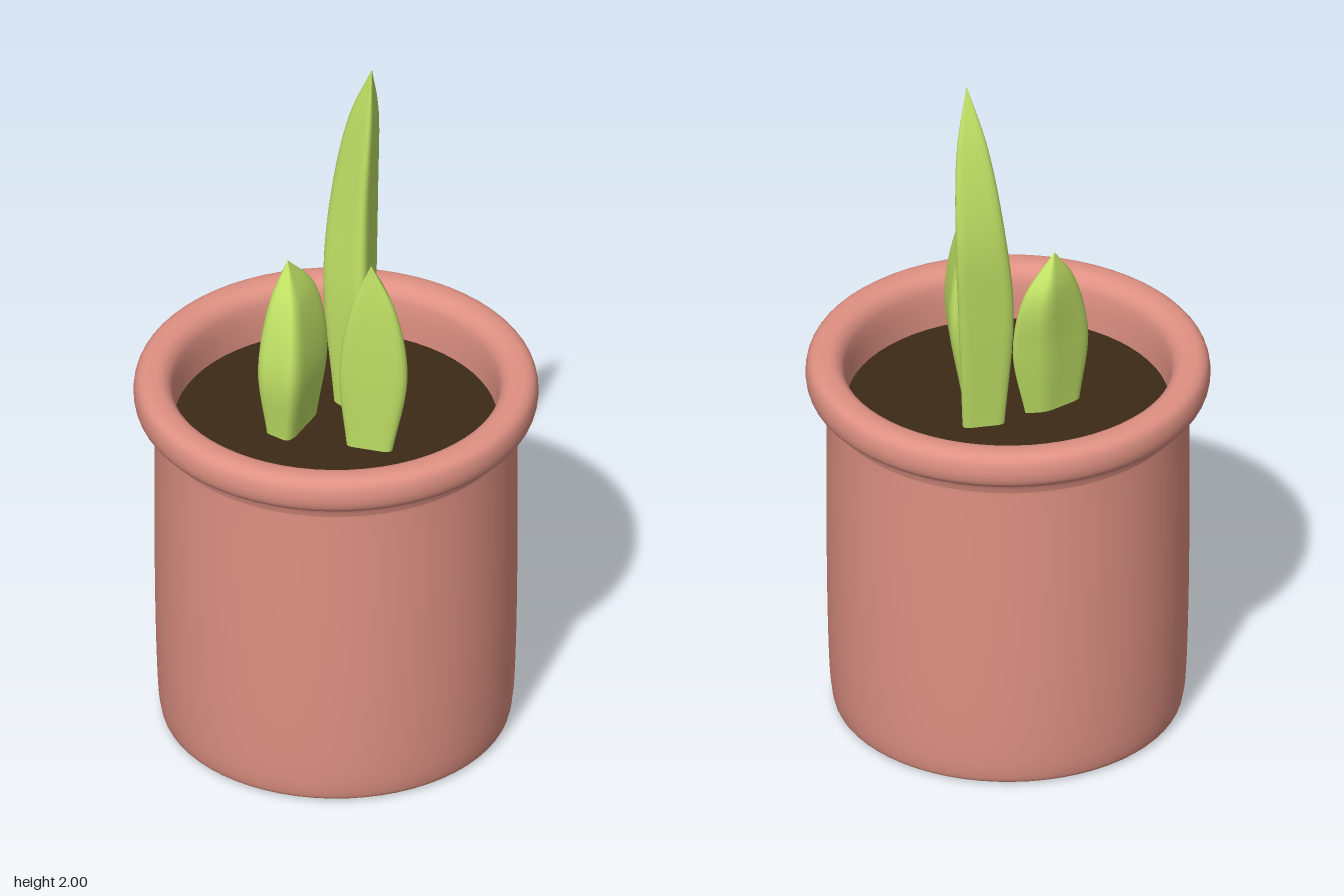
import * as THREE from 'three';

const material = (color) => new THREE.MeshStandardMaterial({ color, roughness: 0.8 });
const v2 = (points) => points.map(([x, y]) => new THREE.Vector2(x, y));

// Lofts a pointed leaf between edge curves (listed counterclockwise from above) that meet at the tip.
function leafGeometry(tip, edges, round = 0.26, rows = 28, steps = 6) {
  const curves = edges.map((points) =>
    new THREE.CatmullRomCurve3([...points, tip].map((p) => new THREE.Vector3(...p))));
  const positions = [], index = [], ring = edges.length * (steps + 1);
  for (let i = 0; i <= rows; i++) {
    const corners = curves.map((c) => c.getPoint(i / rows));
    corners.forEach((corner, k) => {
      // Each corner of the cross-section is softened by a small arc
      const before = corners[(k + corners.length - 1) % corners.length];
      const after = corners[(k + 1) % corners.length];
      const arc = new THREE.QuadraticBezierCurve3(
        corner.clone().lerp(before, round), corner, corner.clone().lerp(after, round));
      for (const p of arc.getPoints(steps)) positions.push(p.x, p.y, p.z);
    });
  }
  for (let i = 0; i < rows; i++) {
    for (let j = 0; j < ring; j++) {
      const a = i * ring + j, b = i * ring + (j + 1) % ring;
      index.push(a, b, b + ring, a, b + ring, a + ring);
    }
  }
  const geometry = new THREE.BufferGeometry();
  geometry.setAttribute('position', new THREE.Float32BufferAttribute(positions, 3));
  geometry.setIndex(index);
  geometry.computeVertexNormals();
  return geometry;
}

export function createModel() {
  const group = new THREE.Group();
  const clay = material(0xdf9183), green = material(0xbfe065), earth = material(0x3d2a18);
  const add = (name, geometry, mat) => {
    const mesh = new THREE.Mesh(geometry, mat);
    mesh.name = name;
    group.add(mesh);
    return mesh;
  };

  // Pot base and wall
  const wall = new THREE.SplineCurve(v2([
    [0.465, 0.004], [0.477, 0.02], [0.486, 0.1], [0.492, 0.3], [0.495, 0.6], [0.495, 0.9], [0.498, 0.95], [0.515, 0.985],
  ])).getPoints(40);
  add('potWall', new THREE.LatheGeometry(wall, 64), clay);
  add('potBase', new THREE.LatheGeometry(v2([[0, 0], [0.455, 0], [0.465, 0.004]]), 64), clay);

  // Rolled rim running down into the inner wall
  const rim = new THREE.SplineCurve(v2([
    [0.497, 0.972], [0.525, 0.98], [0.545, 0.998], [0.552, 1.03], [0.546, 1.064], [0.528, 1.082],
    [0.5, 1.086], [0.472, 1.08], [0.453, 1.06], [0.445, 1.03], [0.442, 0.98], [0.442, 0.9],
  ])).getPoints(66);
  add('potRim', new THREE.LatheGeometry(rim, 64), clay);

  // Soil
  const soil = add('soil', new THREE.CircleGeometry(0.443, 64), earth);
  soil.rotation.x = -Math.PI / 2;
  soil.position.y = 0.93;

  // Tall leaf at the back
  add('tallLeaf', leafGeometry([0.125, 2, -0.085], [
    [[0.01, 0.92, -0.11], [-0.015, 1.3, -0.15], [0.015, 1.57, -0.17], [0.065, 1.83, -0.14]],
    [[0.08, 0.92, 0.02], [0.08, 1.3, 0.005], [0.09, 1.57, -0.02], [0.11, 1.83, -0.045]],
    [[0.15, 0.92, -0.12], [0.172, 1.3, -0.175], [0.182, 1.57, -0.195], [0.168, 1.83, -0.15]],
  ]), green);

  // Medium leaf at the front
  add('frontLeaf', leafGeometry([0.055, 1.527, 0.16], [
    [[-0.02, 0.92, 0.12], [-0.05, 1.17, 0.12], [-0.015, 1.38, 0.14]],
    [[0.11, 0.92, 0.2], [0.15, 1.17, 0.23], [0.12, 1.38, 0.21]],
    [[0.12, 0.92, 0.06], [0.155, 1.17, 0.025], [0.12, 1.38, 0.065]],
  ]), green);

  // Short, broad leaf on the right side
  add('shortLeaf', leafGeometry([-0.12, 1.437, -0.06], [
    [[-0.15, 0.92, 0.07], [-0.145, 1.14, 0.11], [-0.13, 1.32, 0.05]],
    [[-0.03, 0.92, -0.06], [0.015, 1.14, -0.09], [-0.02, 1.32, -0.1]],
    [[-0.1, 0.92, -0.06], [-0.1, 1.14, -0.1], [-0.1, 1.34, -0.125]],
    [[-0.205, 0.92, 0], [-0.235, 1.14, 0], [-0.19, 1.33, -0.025]],
  ]), green);

  return group;
}
